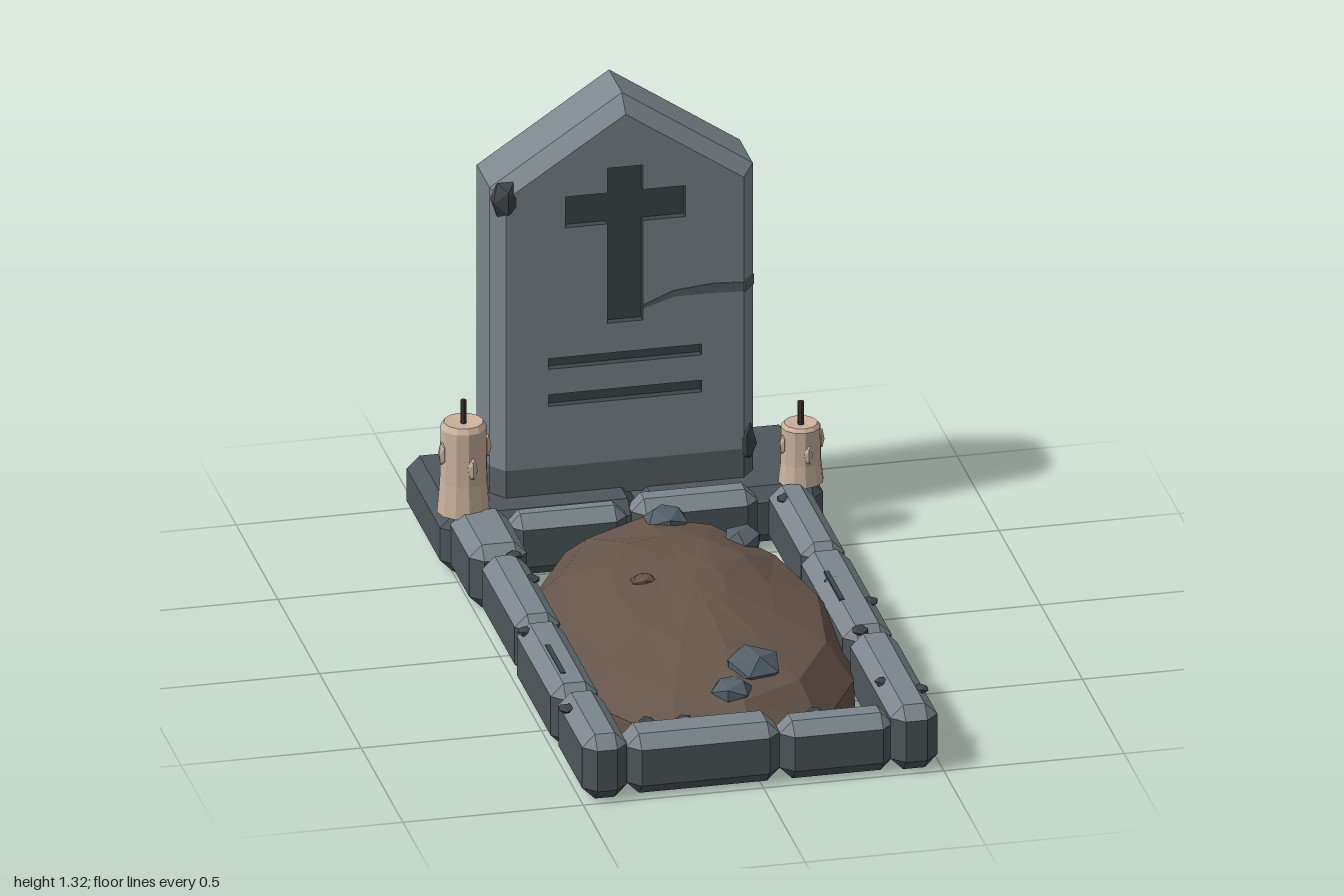
import * as THREE from 'three';
import { ConvexGeometry } from 'three/addons/geometries/ConvexGeometry.js';

const mat = (name, color, side = THREE.FrontSide) => {
  const m = new THREE.MeshStandardMaterial({ color, flatShading: true, side });
  m.name = name;
  return m;
};

export function createModel() {
  const root = new THREE.Group();
  root.name = 'grave';
  const light = mat('lightStone', 0x7c868c);
  const dark = mat('darkStone', 0x4d575b);
  const worn = mat('wornStone', 0x585f64);
  const carve = mat('carvedStone', 0x3d4548);
  const rockMat = mat('rock', 0x53606a);
  const soil = mat('soil', 0x66554a);
  const wax = mat('wax', 0xcbb29d);
  const wickMat = mat('wick', 0x3b342e);

  const add = (name, geo, material, x = 0, y = 0, z = 0, parent = root) => {
    const m = new THREE.Mesh(geo, material);
    m.name = name;
    m.position.set(x, y, z);
    parent.add(m);
    return m;
  };

  // Box with every edge chamfered; group 0 for upward faces, 1 for the rest
  function chamferBox(x0, x1, y0, y1, z0, z1, c) {
    const pts = [], C = new THREE.Vector3((x0 + x1) / 2, (y0 + y1) / 2, (z0 + z1) / 2);
    const h = new THREE.Vector3(x1 - x0, y1 - y0, z1 - z0).multiplyScalar(0.5);
    for (const sx of [-1, 1]) for (const sy of [-1, 1]) for (const sz of [-1, 1])
      for (let k = 0; k < 3; k++) {
        const e = [0, 1, 2].map(i => (i === k ? 0 : c));
        pts.push(new THREE.Vector3(C.x + sx * (h.x - e[0]), C.y + sy * (h.y - e[1]), C.z + sz * (h.z - e[2])));
      }
    const g = new ConvexGeometry(pts), n = g.attributes.normal;
    for (let i = 0; i < n.count; i += 3) g.addGroup(i, 3, n.getY(i) > 0.3 ? 0 : 1);
    return g;
  }

  // Base slabs under the headstone
  add('baseSlabRight', chamferBox(-0.535, 0.02, 0.004, 0.17, -1, -0.53, 0.035), [dark, dark]);
  add('baseSlabLeft', chamferBox(0.02, 0.53, 0, 0.165, -0.99, -0.54, 0.035), [dark, dark]);
  add('soilUnderSlab', new THREE.BoxGeometry(0.48, 0.004, 0.4), soil, -0.255, 0.002, -0.765);

  // Kerb stones: x0, x1, top, z0, z1
  [
    [-0.51, -0.35, 0.185, -0.585, -0.29], [-0.49, -0.365, 0.18, -0.29, 0.17],
    [-0.50, -0.37, 0.185, 0.17, 0.645], [-0.495, -0.37, 0.19, 0.645, 1],
    [0.37, 0.49, 0.18, -0.57, -0.115], [0.355, 0.49, 0.185, -0.115, 0.45],
    [0.36, 0.49, 0.19, 0.45, 1],
    [-0.37, 0.055, 0.175, 0.845, 0.99], [0.055, 0.37, 0.17, 0.87, 0.99],
    [-0.36, -0.03, 0.18, -0.575, -0.475], [-0.015, 0.335, 0.185, -0.6, -0.485],
  ].forEach(([x0, x1, top, z0, z1]) =>
    add('kerbStone', chamferBox(x0, x1, 0, top, z0, z1, 0.035), [light, dark]));

  // Skin between matching outlines, listed front to back
  function loft(loops, frontCap) {
    const pos = [], n = loops[0].length;
    const tri = (...p) => p.forEach(v => pos.push(...v));
    for (let l = 0; l < loops.length - 1; l++)
      for (let i = 0; i < n; i++) {
        const j = (i + 1) % n, a = loops[l], b = loops[l + 1];
        tri(a[i], b[i], a[j]);
        tri(a[j], b[i], b[j]);
      }
    const f = loops[0], k = loops[loops.length - 1];
    for (let i = 1; i < n - 1; i++) {
      if (frontCap) tri(f[0], f[i], f[i + 1]);
      tri(k[0], k[i + 1], k[i]);
    }
    const g = new THREE.BufferGeometry();
    g.setAttribute('position', new THREE.Float32BufferAttribute(pos, 3));
    g.computeVertexNormals();
    return g;
  }
  const at = (o, z) => o.map(([x, y]) => [x, y, z]);
  const slab = (outer, inner, cap) =>
    loft([at(inner, -0.64), at(outer, -0.685), at(outer, -0.84), at(inner, -0.88)], cap);

  // Headstone with a dark foot and a carved front
  const headstone = new THREE.Group();
  headstone.name = 'headstone';
  root.add(headstone);
  const outer = [[-0.37, 0.25], [0.36, 0.25], [0.36, 1.075], [-0.003, 1.32], [-0.37, 1.075]];
  const inner = [[-0.335, 0.25], [0.325, 0.25], [0.325, 1.055], [-0.003, 1.275], [-0.335, 1.055]];
  add('headstoneBody', slab(outer, inner, false), light, 0, 0, 0, headstone);
  const foot = s => [[-s - 0.005, 0.155], [s - 0.005, 0.155], [s - 0.005, 0.25], [-s - 0.005, 0.25]];
  add('headstoneFoot', slab(foot(0.365), foot(0.33), true), worn, 0, 0, 0, headstone);

  const poly = p => p.map(([x, y]) => new THREE.Vector2(x, y));
  const bar = (y0, y1) => poly([[-0.217, y0], [0.208, y0], [0.208, y1], [-0.217, y1]]);
  const carvings = [
    poly([[-0.053, 0.66], [0.045, 0.66], [0.045, 0.955], [0.163, 0.955], [0.163, 1.047], [0.045, 1.047],
      [0.045, 1.12], [-0.053, 1.12], [-0.053, 1.047], [-0.17, 1.047], [-0.17, 0.955], [-0.053, 0.955]]),
    bar(0.54, 0.572), bar(0.43, 0.465),
  ];
  const face = new THREE.Shape(poly(inner));
  carvings.forEach(c => face.holes.push(new THREE.Path(c)));
  add('headstoneFace', new THREE.ExtrudeGeometry(face, { depth: 0.025, bevelEnabled: false }),
    [light, carve], 0, 0, -0.665, headstone);
  carvings.forEach((c, i) => add(i ? 'carvedLine' : 'carvedCross',
    new THREE.ShapeGeometry(new THREE.Shape(c)), carve, 0, 0, -0.663, headstone));

  // Crack across the face and round the side
  const crack = new THREE.Shape(poly([[0.045, 0.695], [0.13, 0.722], [0.24, 0.722], [0.325, 0.718],
    [0.325, 0.745], [0.24, 0.75], [0.13, 0.74], [0.045, 0.705]]));
  add('crack', new THREE.ExtrudeGeometry(crack, { depth: 0.004, bevelEnabled: false }), worn, 0, 0, -0.641, headstone);
  add('crackEnd', new THREE.BoxGeometry(0.056, 0.03, 0.006), worn, 0.343, 0.732, -0.661, headstone).rotation.y = 0.91;

  // Faceted lumps for chips and rocks
  function lump(name, r, material, x, y, z, sx = 1, sy = 1, sz = 1, turn = 0) {
    const m = add(name, new THREE.IcosahedronGeometry(r, 0), material, x, y, z);
    m.scale.set(sx, sy, sz);
    m.rotation.y = turn;
    return m;
  }
  lump('cornerChip', 0.06, carve, -0.33, 1.045, -0.665, 0.75, 1, 0.65);
  lump('cornerChip', 0.06, carve, 0.332, 0.26, -0.668, 0.6, 1, 0.65);

  // Small chips and slots on the kerbs and slabs
  [[-0.4, 0.175, -0.26], [-0.385, 0.165, -0.12], [-0.48, 0.17, 0.22], [-0.485, 0.17, 0.74],
    [-0.19, 0.165, 0.87], [-0.29, 0.165, 0.86], [0.4, 0.17, -0.47], [0.4, 0.175, 0.09],
    [0.4, 0.175, 0.43], [0.385, 0.175, 0.77], [0.17, 0.16, 0.89], [0.47, 0.17, 0.24],
    [0.47, 0.18, 0.85], [-0.3, 0.16, -0.975], [-0.02, 0.16, -0.97],
  ].forEach(([x, y, z], i) => lump('chip', 0.024, carve, x, y, z, 1, 0.5, 1.1, i * 1.3));
  add('slot', new THREE.BoxGeometry(0.014, 0.006, 0.19), carve, -0.45, 0.184, 0.45);
  add('slot', new THREE.BoxGeometry(0.014, 0.006, 0.19), carve, 0.393, 0.184, 0.15);
  add('slot', new THREE.BoxGeometry(0.28, 0.006, 0.014), carve, -0.19, 0.17, -0.9);

  // Soil mound with a slightly uneven surface
  const profile = [[0, 0], [1, 0], [0.99, 0.08], [0.82, 0.17], [0.5, 0.228], [0.2, 0.252], [0, 0.26]];
  const mound = new THREE.LatheGeometry(poly(profile), 12);
  const p = mound.attributes.position;
  for (let i = 0; i < p.count; i++) {
    const x = p.getX(i), z = p.getZ(i), y = p.getY(i);
    if (y > 0.1 && y < 0.255) p.setY(i, y + 0.006 * Math.sin(x * 9 + z * 5));
  }
  mound.scale(0.42, 1, 0.74);
  add('soilMound', mound, soil, -0.005, 0, 0.18);
  lump('soilClod', 0.035, soil, -0.13, 0.24, 0.12, 1.1, 0.6, 0.9);

  // Rocks lying on the soil
  [[0.045, 0.19, -0.365, 0.065], [0.22, 0.19, -0.2, 0.057], [0.055, 0.195, 0.63, 0.085], [-0.025, 0.175, 0.73, 0.06],
  ].forEach(([x, y, z, r], i) => lump('rock', r, rockMat, x, y, z, 1, 0.6, 1, i * 0.9));

  // Candles with drips and a wick
  function candle(x, z, r, h) {
    const g = new THREE.Group();
    g.name = 'candle';
    g.position.set(x, 0.168, z);
    root.add(g);
    const pts = [[0, 0], [r * 1.12, 0], [r, h * 0.35], [r * 0.97, h * 0.94], [r * 0.82, h], [0, h - 0.006]];
    add('candleBody', new THREE.LatheGeometry(poly(pts), 12), wax, 0, 0, 0, g);
    for (const [a, y] of [[0.2, 0.72], [2.9, 0.68], [4.3, 0.6], [1.4, 0.55]]) {
      const d = add('waxDrip', new THREE.IcosahedronGeometry(r * 0.3, 0), wax,
        Math.cos(a) * r * 0.92, h * y, Math.sin(a) * r * 0.92, g);
      d.scale.set(0.8, 1.9, 0.8);
    }
    add('wick', new THREE.CylinderGeometry(0.009, 0.009, 0.075, 6), wickMat, 0, h + 0.025, 0, g);
  }
  candle(-0.462, -0.6, 0.066, 0.262);
  candle(0.47, -0.585, 0.056, 0.17);

  return root;
}
